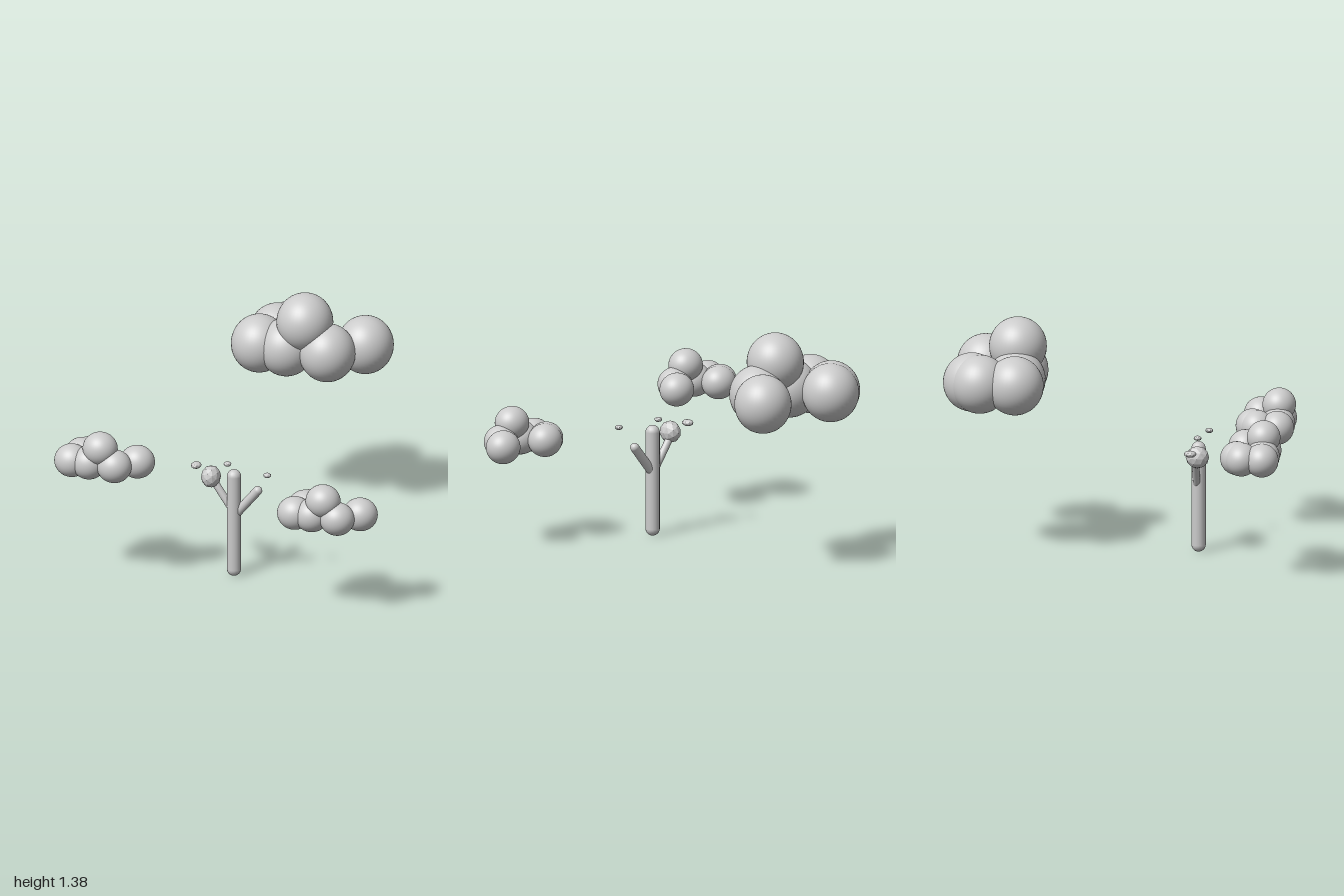
import * as THREE from 'three';

const smooth = new THREE.MeshStandardMaterial({ color: 0xcccccc });
const faceted = new THREE.MeshStandardMaterial({ color: 0xcccccc, flatShading: true });

// Puff centres of one cloud, relative to its front centre
const PUFFS = [
  [0, 0.172, 0], [-0.285, 0, 0], [-0.115, 0, 0], [0.14, 0, 0],
  [0.296, 0, -0.206], [-0.255, 0, -0.206], [-0.2, 0, -0.255],
];

function addMesh(parent, name, geometry, material, position) {
  const mesh = new THREE.Mesh(geometry, material);
  mesh.name = name;
  mesh.position.set(...position);
  parent.add(mesh);
  return mesh;
}

function makeCloud(name, position, scale) {
  const cloud = new THREE.Group();
  cloud.name = name;
  const puff = new THREE.SphereGeometry(1, 40, 28);
  for (const p of PUFFS) {
    addMesh(cloud, 'cloudPuff', puff, smooth, p).scale.set(0.165, 0.172, 0.168);
  }
  cloud.position.set(...position);
  cloud.scale.set(...scale);
  return cloud;
}

// Rounded limb between two points, including its round ends
function addLimb(parent, name, from, to, radius) {
  const a = new THREE.Vector3(...from), b = new THREE.Vector3(...to);
  const dir = b.clone().sub(a);
  const geometry = new THREE.CapsuleGeometry(radius, dir.length(), 6, 16);
  const limb = addMesh(parent, name, geometry, smooth, a.add(b).multiplyScalar(0.5).toArray());
  limb.quaternion.setFromUnitVectors(new THREE.Vector3(0, 1, 0), dir.normalize());
}

export function createModel() {
  const model = new THREE.Group();
  model.name = 'treeWithClouds';

  // Clouds: one large at the back, two small at the front
  model.add(makeCloud('largeCloud', [-0.016, 1.033, -0.58], [1, 1, 1]));
  model.add(makeCloud('rightCloud', [-0.705, 0.745, 0.895], [0.624, 0.57, 0.58]));
  model.add(makeCloud('leftCloud', [0.69, 0.616, 0.895], [0.624, 0.57, 0.58]));

  // Tree trunk and branches
  const tree = new THREE.Group();
  tree.name = 'tree';
  addLimb(tree, 'trunk', [-0.037, 0.042, 0.473], [-0.037, 0.615, 0.473], 0.042);
  addLimb(tree, 'leftBranch', [-0.02, 0.39, 0.47], [0.11, 0.546, 0.47], 0.027);
  addLimb(tree, 'rightBranch', [-0.05, 0.4, 0.463], [-0.17, 0.57, 0.463], 0.022);

  // Foliage clump and loose leaves
  const clump = new THREE.IcosahedronGeometry(1, 1);
  const leaves = [
    ['foliageClump', [-0.18, 0.595, 0.475], [0.057, 0.066, 0.068]],
    ['looseLeaf', [-0.287, 0.638, 0.44], [0.031, 0.02, 0.037]],
    ['looseLeaf', [-0.079, 0.685, 0.47], [0.023, 0.015, 0.023]],
    ['looseLeaf', [0.19, 0.67, 0.52], [0.024, 0.015, 0.023]],
  ];
  for (const [name, position, size] of leaves) {
    addMesh(tree, name, clump, faceted, position).scale.set(...size);
  }
  model.add(tree);
  return model;
}
